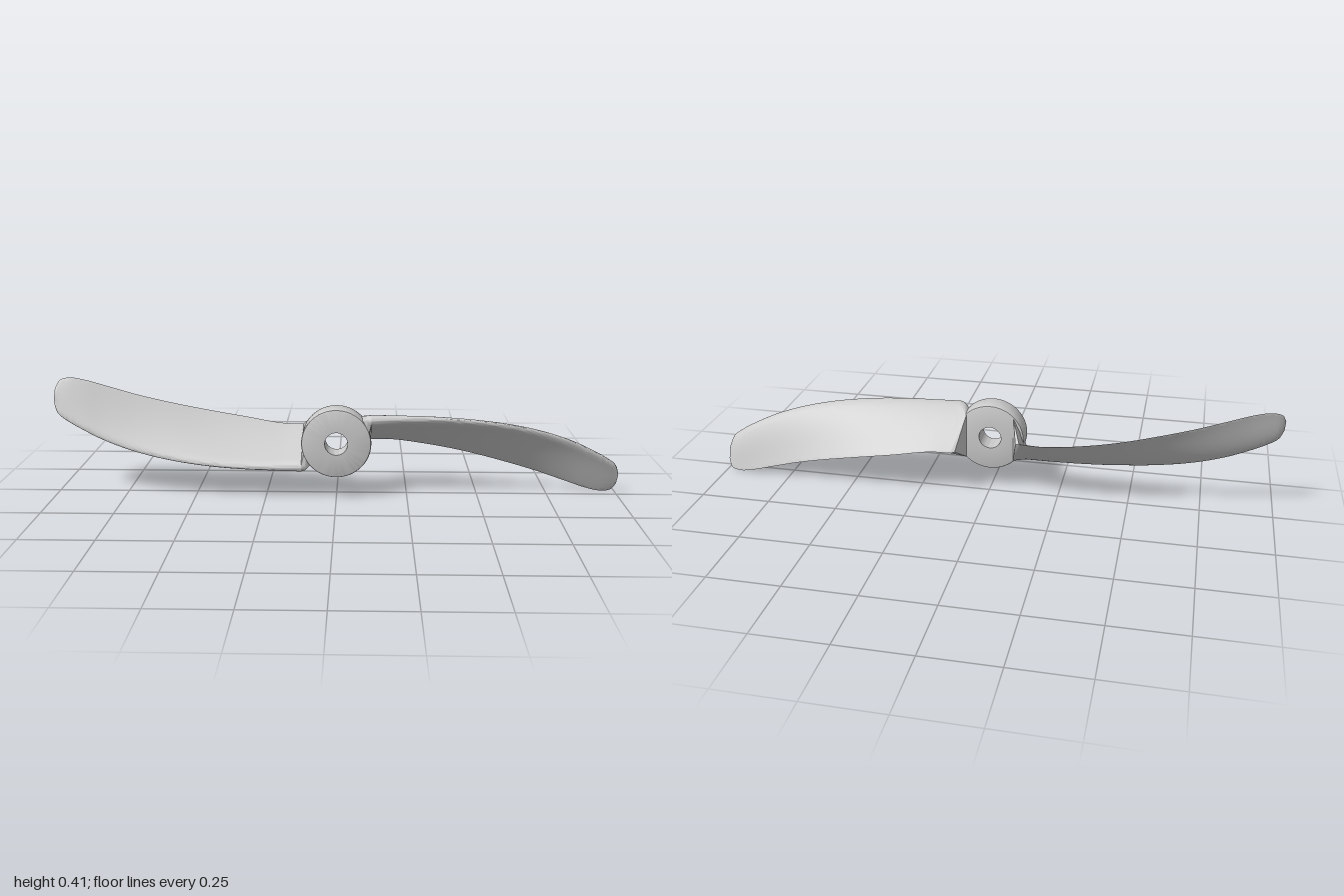
import * as THREE from 'three';
import { toCreasedNormals } from 'three/addons/utils/BufferGeometryUtils.js';
import { ConvexGeometry } from 'three/addons/geometries/ConvexGeometry.js';

const AXIS_Y = 0.2045;
const AROUND = 48;
const ROWS = 66;
const V = (x, y, z) => new THREE.Vector3(x, y, z);

// Blade stations: x, leading edge (y, z), trailing edge (y, z), thickness
const STATIONS = [
  [0.122, 0.297, 0.098, 0.176, -0.084, 0.044],
  [0.2, 0.298, 0.092, 0.175, -0.09, 0.037],
  [0.33, 0.297, 0.084, 0.155, -0.1, 0.031],
  [0.46, 0.289, 0.076, 0.131, -0.096, 0.028],
  [0.6, 0.271, 0.063, 0.099, -0.08, 0.026],
  [0.72, 0.244, 0.05, 0.067, -0.066, 0.024],
  [0.82, 0.21, 0.039, 0.035, -0.055, 0.022],
  [0.9, 0.172, 0.03, 0.01, -0.046, 0.02],
  [0.95, 0.144, 0.024, 0.001, -0.041, 0.018],
  [0.985, 0.117, 0.018, 0.008, -0.034, 0.015],
  [1.0, 0.08, 0.006, 0.035, -0.018, 0.008],
];
const curve = (fn) => new THREE.CatmullRomCurve3(STATIONS.map(fn));
const LEAD = curve((s) => V(s[0], s[1], s[2]));
const TRAIL = curve((s) => V(s[0], s[3], s[4]));
const THICK = curve((s) => V(s[0], s[5], 0));

// Blunt rounded nose, then a smooth taper to a thin rounded trailing edge
function halfThickness(t) {
  const nose = 0.16;
  if (t < nose) return 0.5 * Math.sqrt(1 - (1 - t / nose) ** 2);
  const s = (t - nose) / (1 - nose);
  return 0.5 * Math.sqrt(Math.max(0, 1 - s * s)) * (1 - 0.65 * s * s);
}

// Ring of points of the airfoil at u along the blade, cambered near the nose
function section(u) {
  const a = LEAD.getPoint(u);
  const chord = TRAIL.getPoint(u).sub(a);
  const thickness = THICK.getPoint(u).y;
  const up = V(0, -chord.z, chord.y).normalize();
  return Array.from({ length: AROUND }, (_, j) => {
    const angle = (j / AROUND) * Math.PI * 2;
    const t = (1 - Math.cos(angle)) / 2;
    const half = thickness * halfThickness(t);
    const camber = 0.17 * chord.length() * t * (1 - t) ** 2;
    return a.clone().addScaledVector(chord, t)
      .addScaledVector(up, camber + (angle < Math.PI ? half : -half));
  });
}

// Loft through the airfoil rings, with end caps
function bladeGeometry() {
  const points = [], index = [];
  for (let i = 0; i <= ROWS; i++) points.push(...section(i / ROWS));
  for (let i = 0; i < ROWS; i++) {
    for (let j = 0; j < AROUND; j++) {
      const a = i * AROUND + j, b = i * AROUND + ((j + 1) % AROUND);
      index.push(a, a + AROUND, b, b, a + AROUND, b + AROUND);
    }
  }
  const last = ROWS * AROUND;
  for (let j = 1; j < AROUND - 1; j++) {
    index.push(0, j, j + 1, last, last + j + 1, last + j);
  }
  const g = new THREE.BufferGeometry().setFromPoints(points);
  g.setIndex(index);
  return toCreasedNormals(g, 0.9);
}

// Ring with softened rims, turned about z
function hubGeometry() {
  const back = 0.009, front = 0.088, R = 0.122, r = 0.04, c = 0.007;
  const profile = [
    [r, back], [R - c, back], [R - 0.3 * c, back + 0.3 * c], [R, back + c],
    [R, front - c], [R - 0.3 * c, front - 0.3 * c], [R - c, front], [r, front], [r, back],
  ].map(([x, y]) => new THREE.Vector2(x, y));
  const g = new THREE.LatheGeometry(profile, 72);
  g.rotateX(Math.PI / 2);
  return toCreasedNormals(g, 0.5);
}

// Wedge from the hub's rear rim out to the blade's first section, rounded off inward
function rootGeometry() {
  const middle = V(0, 0.24, 0.01);
  const inner = section(0).map((p) => {
    const q = p.clone().sub(middle).multiplyScalar(0.95).add(middle);
    return q.setX(0.108);
  });
  const g = new ConvexGeometry([
    ...section(0), ...inner,
    V(0.085, 0.123, 0.006), V(0.085, 0.285, 0.006),
    V(0.09, 0.284, 0.075), V(0.1, 0.17, 0.055),
  ]);
  return toCreasedNormals(g, 0.7);
}

export function createModel() {
  const model = new THREE.Group();
  model.name = 'propeller';
  const material = new THREE.MeshStandardMaterial({ color: 0xcccccc });
  const add = (parent, geometry, name) => {
    const mesh = new THREE.Mesh(geometry, material);
    mesh.name = name;
    parent.add(mesh);
    return mesh;
  };

  add(model, hubGeometry(), 'hub').position.y = AXIS_Y;

  // Two identical blades, half a turn apart about the hub axis
  const blade = bladeGeometry().translate(0, -AXIS_Y, 0);
  const root = rootGeometry().translate(0, -AXIS_Y, 0);
  ['left', 'right'].forEach((side, i) => {
    const arm = new THREE.Group();
    arm.name = side + 'Arm';
    arm.position.y = AXIS_Y;
    arm.rotation.z = i * Math.PI;
    add(arm, blade, side + 'Blade');
    add(arm, root, side + 'BladeRoot');
    model.add(arm);
  });
  return model;
}
